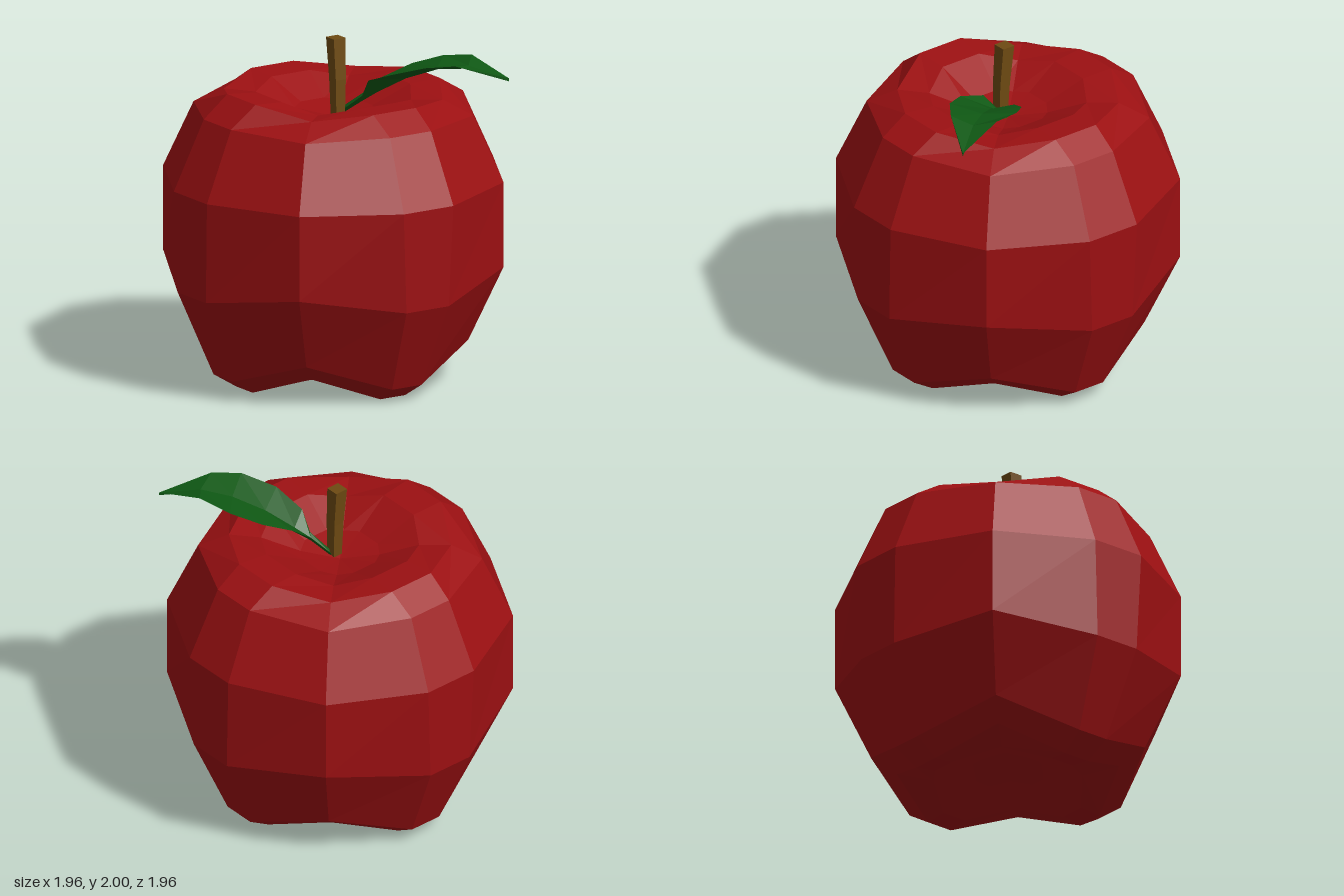
import * as THREE from 'three';

const skin = new THREE.MeshStandardMaterial({ color: 0x9c1012, flatShading: true, name: 'appleRed' });
const bark = new THREE.MeshStandardMaterial({ color: 0x6e4a12, flatShading: true, name: 'stemBrown' });
const green = new THREE.MeshStandardMaterial({ color: 0x0f5814, flatShading: true, name: 'leafGreen' });

// Faceted skin over a stack of equal-length closed loops of Vector3
function loft(rings) {
  const out = [];
  const tri = (a, b, c) => {
    const area = b.clone().sub(a).cross(c.clone().sub(a)).length();
    if (area > 1e-7) for (const p of [a, b, c]) out.push(p.x, p.y, p.z);
  };
  for (let i = 0; i < rings.length - 1; i++) {
    const lo = rings[i], hi = rings[i + 1], n = lo.length;
    for (let j = 0; j < n; j++) {
      const k = (j + 1) % n;
      tri(lo[j], hi[j], lo[k]);
      tri(lo[k], hi[j], hi[k]);
    }
  }
  const g = new THREE.BufferGeometry();
  g.setAttribute('position', new THREE.Float32BufferAttribute(out, 3));
  g.computeVertexNormals();
  return g;
}

function part(name, geometry, material) {
  const m = new THREE.Mesh(geometry, material);
  m.name = name;
  return m;
}

// Four-lobed ring: two points on each lobe, one in each diagonal valley
function lobedRing([reach, halfWidth, lobeY, diag, diagY, lift = 0]) {
  const ring = [];
  for (let q = 0; q < 4; q++) {
    const c = [1, 0, -1, 0][q], s = [0, 1, 0, -1][q];
    const put = (x, z, y) => ring.push(new THREE.Vector3(x * c - z * s, y, x * s + z * c));
    const y = lobeY + (q === 2 ? lift : 0);
    put(reach, -halfWidth, y);
    put(reach, halfWidth, y);
    put(diag, diag, diagY);
  }
  return ring;
}

function buildFruit() {
  // lobe reach, lobe half width, lobe height, valley x = z, valley height, extra lift
  const profile = [
    [0, 0, 0.2, 0, 0.2],
    [0.22, 0.05, 0.13, 0.14, 0.16],
    [0.48, 0.08, 0.02, 0.3, 0.09],
    [0.61, 0.085, 0.005, 0.45, 0.14],
    [0.755, 0.1, 0.095, 0.555, 0.25],
    [0.97, 0.145, 0.6, 0.7, 0.69],
    [0.98, 0.17, 1.19, 0.7, 1.19],
    [0.795, 0.14, 1.595, 0.575, 1.575],
    [0.63, 0.145, 1.695, 0.45, 1.66, 0.025],
    [0.44, 0.13, 1.685, 0.32, 1.65, 0.02],
    [0.215, 0.08, 1.58, 0.16, 1.57],
    [0, 0, 1.53, 0, 1.53],
  ];
  return part('fruit', loft(profile.map(lobedRing)), skin);
}

function buildStem() {
  // Square stem, slimmer at the bottom and leaning back at the top
  const g = new THREE.BoxGeometry(0.08, 0.48, 0.08, 1, 2, 1);
  const p = g.attributes.position;
  for (let i = 0; i < p.count; i++) {
    const t = p.getY(i) / 0.48 + 0.5;
    const w = 0.72 + 0.28 * t;
    p.setXYZ(i, p.getX(i) * w - 0.004 * (1 - t), 1.52 + 0.48 * t, p.getZ(i) * w + 0.053 - 0.028 * t * t);
  }
  g.computeVertexNormals();
  return part('stem', g, bark);
}

function buildLeaf() {
  // Each station: left edge, midrib, right edge (x, y, z)
  const stations = [
    [[0.03, 1.58, 0.06], [0.04, 1.57, 0.04], [0.055, 1.58, 0.01]],
    [[0.09, 1.67, 0.16], [0.105, 1.65, 0.135], [0.125, 1.67, 0.11]],
    [[0.08, 1.78, 0.24], [0.165, 1.71, 0.205], [0.24, 1.755, 0.14]],
    [[0.11, 1.85, 0.43], [0.27, 1.805, 0.34], [0.4, 1.83, 0.21]],
    [[0.23, 1.91, 0.6], [0.39, 1.875, 0.49], [0.525, 1.89, 0.35]],
    [[0.37, 1.922, 0.7], [0.5, 1.895, 0.64], [0.59, 1.925, 0.54]],
    [[0.65, 1.84, 0.83], [0.65, 1.84, 0.83], [0.65, 1.84, 0.83]],
  ];
  const rings = stations.map((s) => {
    const [l, m, r] = s.map((v) => new THREE.Vector3(...v));
    return [l, m, r, m.clone().setY(m.y - 0.018)];
  });
  const start = rings[0][1];
  rings.unshift(rings[0].map(() => start.clone()));
  const end = rings[rings.length - 1][0];
  rings.push(rings[0].map(() => end.clone()));
  return part('leaf', loft(rings), green);
}

export function createModel() {
  const apple = new THREE.Group();
  apple.name = 'apple';
  apple.add(buildFruit(), buildStem(), buildLeaf());
  return apple;
}
